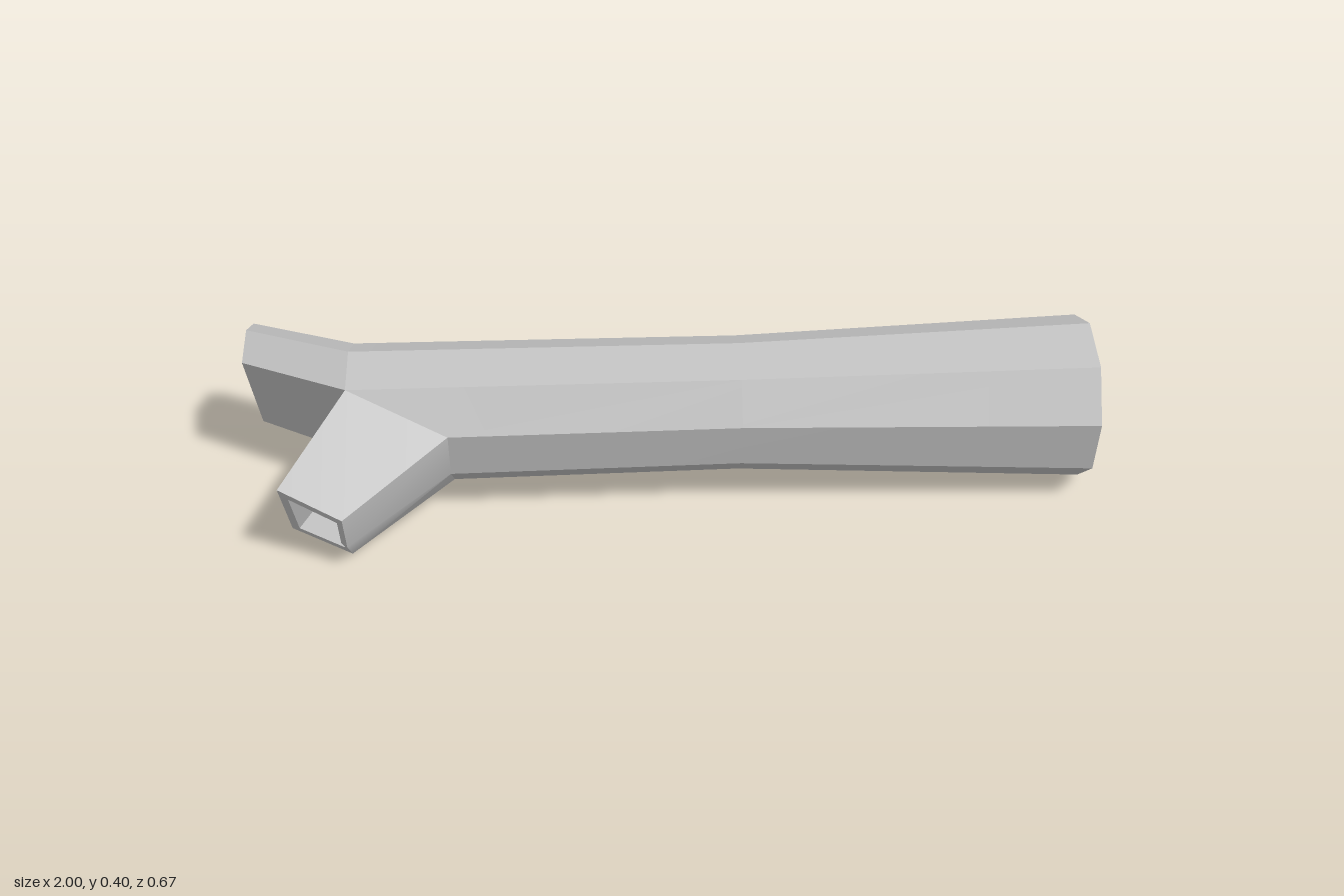
import * as THREE from 'three';
import { toCreasedNormals } from 'three/addons/utils/BufferGeometryUtils.js';

const SIDES = 9;
const v = (x, y, z) => new THREE.Vector3(x, y, z);

// Nine-sided section across the log, corner 0 on top, turning towards the front
function ring(x, cy, cz, r) {
  return Array.from({ length: SIDES }, (_, i) => {
    const a = (i * 2 * Math.PI) / SIDES;
    return v(x, cy + r * Math.cos(a), cz + r * Math.sin(a));
  });
}

// Closed strip of quads between two rings of equal length
function band(tris, p, q) {
  p.forEach((_, i) => {
    const j = (i + 1) % p.length;
    tris.push(p[i], q[i], q[j], p[i], q[j], p[j]);
  });
}

// Rim and shallow hollow at an open end; the ring runs counter-clockwise seen from outside
function hollowEnd(outer, inward) {
  const tris = [];
  const centre = outer.reduce((s, p) => s.add(p), v(0, 0, 0)).divideScalar(outer.length);
  const inner = outer.map((p) => centre.clone().lerp(p, 0.757));
  const floor = inner.map((p) => p.clone().add(inward));
  band(tris, inner, outer);
  band(tris, floor, inner);
  for (let i = 1; i < floor.length - 1; i++) tris.push(floor[0], floor[i], floor[i + 1]);
  return tris;
}

export function createModel() {
  const group = new THREE.Group();
  group.name = 'hollowLog';
  const wood = new THREE.MeshStandardMaterial({ color: 0xc0c0c0 });
  wood.name = 'greyWood';

  const add = (name, tris) => {
    const geometry = toCreasedNormals(new THREE.BufferGeometry().setFromPoints(tris), 0.5);
    const mesh = new THREE.Mesh(geometry, wood);
    mesh.name = name;
    group.add(mesh);
  };

  // Trunk: wide end, waist, and the fork where the front corners stop earlier
  const wide = ring(1, 0.2, -0.036, 0.198);
  const waist = ring(0.17, 0.204, -0.037, 0.163);
  const fork = ring(-0.74, 0.202, -0.037, 0.168);
  for (const i of [2, 3, 4]) fork[i].x = -0.51;
  const trunk = [];
  band(trunk, wide, waist);
  band(trunk, waist, fork);
  add('trunk', trunk);
  add('trunkEnd', hollowEnd(wide, v(-0.06, 0, 0)));

  // Back branch grows from the rear corners of the fork
  const backCorners = [5, 6, 7, 8, 0, 1];
  const tip = ring(-1, 0.2, -0.19, 0.149);
  const backTip = backCorners.map((i) => tip[i]);
  const back = [];
  band(back, backCorners.map((i) => fork[i]), backTip);
  add('backBranch', back);
  add('backBranchEnd', hollowEnd([...backTip].reverse(), v(0.06, 0, 0.036)));

  // Front branch grows from the front corners and droops to the ground
  const frontTip = [
    v(-0.88, 0.207, 0.288),
    v(-0.737, 0.153, 0.338),
    v(-0.735, 0.065, 0.315),
    v(-0.735, 0, 0.25),
    v(-0.88, 0.02, 0.17),
  ];
  const front = [];
  band(front, [1, 2, 3, 4, 5].map((i) => fork[i]), frontTip);
  add('frontBranch', front);
  add('frontBranchEnd', hollowEnd([...frontTip].reverse(), v(0.032, 0.022, -0.045)));

  return group;
}
